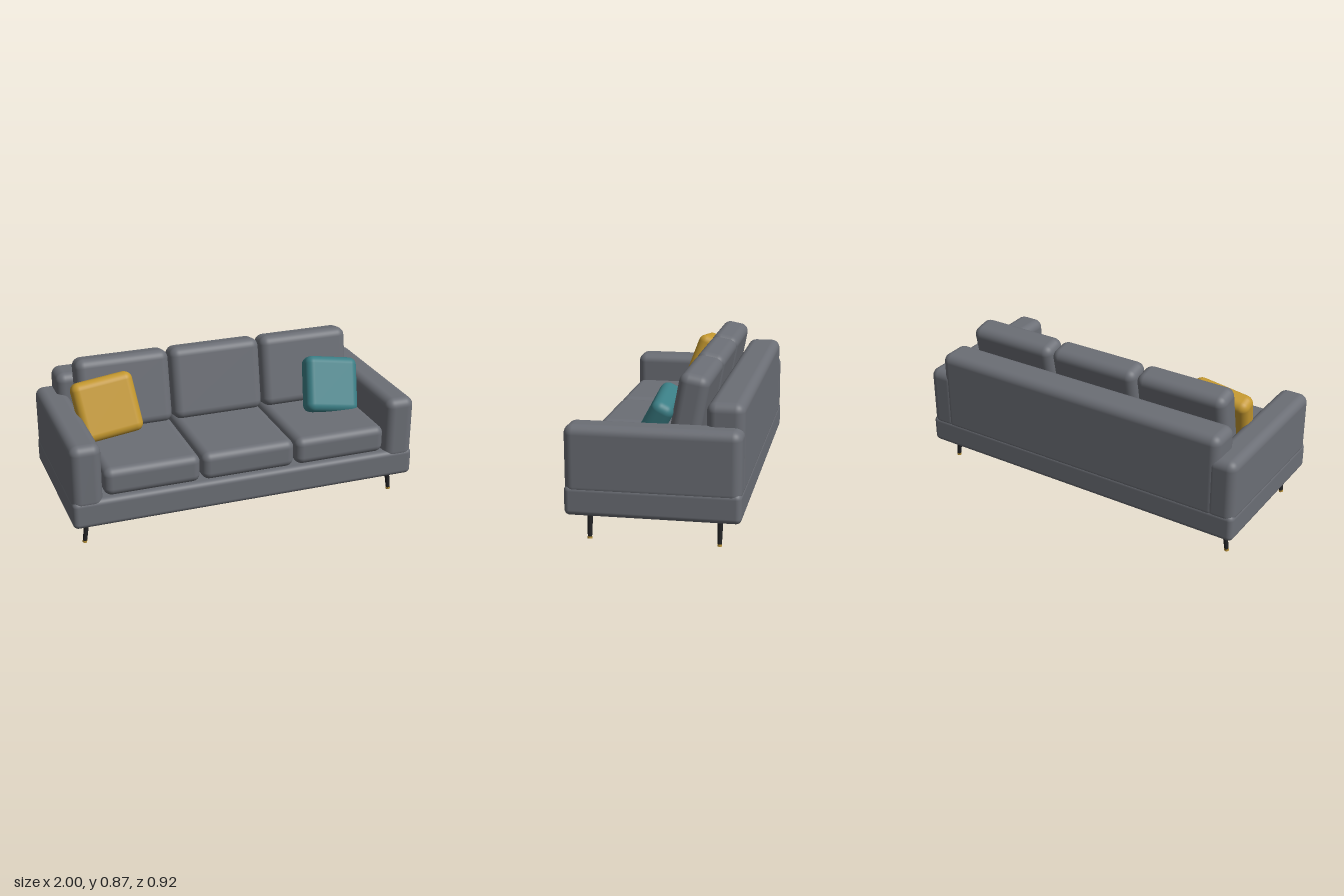
import * as THREE from 'three';
import { RoundedBoxGeometry } from 'three/addons/geometries/RoundedBoxGeometry.js';

const material = (name, color) => {
  const m = new THREE.MeshStandardMaterial({ color });
  m.name = name;
  return m;
};

export function createModel() {
  const fabric = material('grey fabric', 0x6b6e75);
  const mustard = material('mustard fabric', 0xc4982f);
  const teal = material('teal fabric', 0x3a7d84);
  const black = material('black metal', 0x222224);
  const brass = material('brass', 0xb8923a);

  const sofa = new THREE.Group();
  sofa.name = 'sofa';

  // Soft block given by size, corner radius and centre
  const block = (name, mat, [w, h, d], r, [x, y, z]) => {
    const mesh = new THREE.Mesh(new RoundedBoxGeometry(w, h, d, 5, r), mat);
    mesh.name = name;
    mesh.position.set(x, y, z);
    sofa.add(mesh);
    return mesh;
  };

  // Frame
  block('base', fabric, [2, 0.16, 0.916], 0.03, [0, 0.225, 0]);
  block('backrest', fabric, [1.8, 0.492, 0.197], 0.05, [0, 0.496, -0.359]);
  for (const s of [-1, 1]) {
    block(s > 0 ? 'leftArm' : 'rightArm', fabric, [0.17, 0.372, 0.914], 0.05, [s * 0.914, 0.436, 0]);
  }

  // Three seat cushions and three leaning back cushions
  for (const i of [-1, 0, 1]) {
    const x = i * 0.55;
    block('seatCushion', fabric, [0.54, 0.16, 0.71], 0.045, [x, 0.385, 0.092]);
    block('backCushion', fabric, [0.54, 0.42, 0.16], 0.05, [x, 0.655, -0.153]).rotation.x = -0.19;
  }

  // Throw pillows, leaned back and then turned sideways
  block('mustardPillow', mustard, [0.35, 0.34, 0.12], 0.045, [-0.683, 0.63, 0])
    .rotation.set(-0.35, 0, 0.13, 'ZYX');
  block('tealPillow', teal, [0.33, 0.33, 0.12], 0.045, [0.657, 0.586, 0.038])
    .rotation.set(-0.5, 0, -0.17, 'ZYX');

  // Splayed tapered legs with brass tips
  for (const sx of [-1, 1]) for (const sz of [-1, 1]) {
    const leg = new THREE.Group();
    leg.name = 'leg';
    const shaft = new THREE.Mesh(new THREE.CylinderGeometry(0.016, 0.0115, 0.15, 16), black);
    shaft.name = 'legShaft';
    shaft.position.y = 0.088;
    const tip = new THREE.Mesh(new THREE.CylinderGeometry(0.0125, 0.0125, 0.012, 16), brass);
    tip.name = 'legTip';
    tip.position.y = 0.008;
    leg.add(shaft, tip);
    leg.position.set(sx * 0.922, 0, sz * 0.34);
    leg.rotation.z = sx * 0.13;
    sofa.add(leg);
  }
  return sofa;
}
